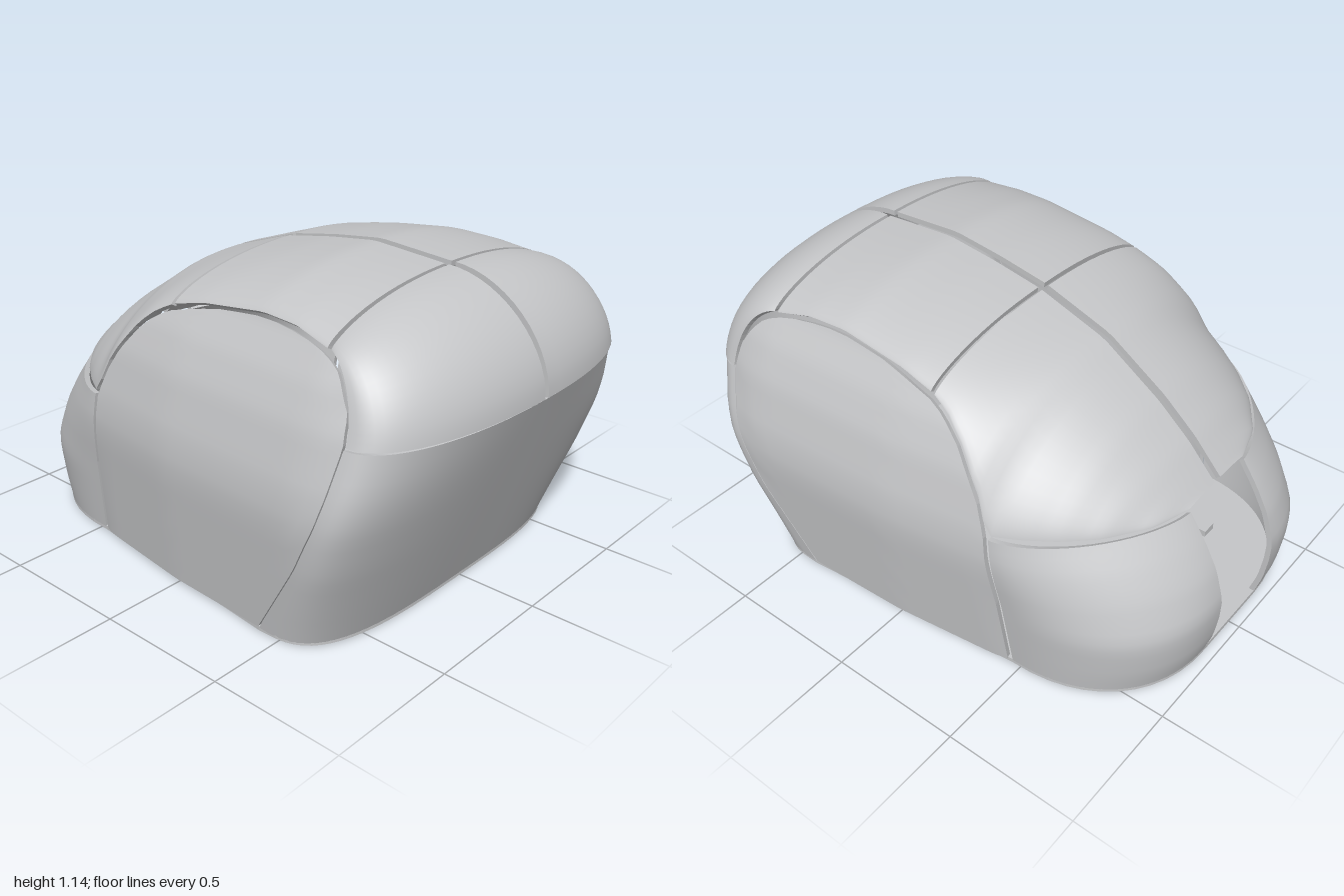
import * as THREE from 'three';

const grey = new THREE.MeshStandardMaterial({ color: 0xc5c6c8 });
grey.name = 'shellGrey';

// Piecewise linear lookup through [input, output] pairs
function lookup(pairs) {
  return (t) => {
    if (t <= pairs[0][0]) return pairs[0][1];
    for (let i = 1; i < pairs.length; i++) {
      const [a, va] = pairs[i - 1], [b, vb] = pairs[i];
      if (t <= b) return va + (vb - va) * (t - a) / (b - a);
    }
    return pairs[pairs.length - 1][1];
  };
}

// Side wall: half width along x, and how far it leans in with height
const halfWidth = lookup([[-0.47, 0.675], [-0.4, 0.695], [0, 0.745], [0.6, 0.77], [0.7, 0.76], [0.75, 0.745]]);
const lean = lookup([[0, 0.045], [0.25, 0.02], [0.42, 0.003], [0.5, 0], [0.6, 0.012], [0.78, 0.06], [0.9, 0.115], [1, 0.18], [1.04, 0.2]]);
const sideZ = (x, y) => halfWidth(x) - lean(y);

// Front and back edges of the side panel by height
const panelFront = lookup([[0.015, -0.45], [0.3, -0.43], [0.6, -0.39], [0.7, -0.35], [0.78, -0.3], [0.86, -0.235],
  [0.92, -0.165], [0.955, -0.09], [0.985, 0.03], [1.005, 0.13], [1.02, 0.28]]);
const panelBack = lookup([[0.015, 0.41], [0.32, 0.6], [0.5, 0.685], [0.6, 0.715], [0.76, 0.742], [0.85, 0.73],
  [0.92, 0.685], [0.96, 0.645], [0.985, 0.59], [1.01, 0.48], [1.02, 0.36]]);

// Roof: crown height, lower edge height and lower edge half width along x
const crown = lookup([[-0.84, 0.615], [-0.73, 0.735], [-0.6, 0.845], [-0.37, 0.995], [-0.1, 1.085], [0.1, 1.12], [0.3, 1.145],
  [0.6, 1.125]]);
const roofEdgeY = lookup([[-0.4, 0.605], [-0.36, 0.715], [-0.3, 0.805], [-0.24, 0.88], [-0.17, 0.937], [-0.1, 0.97],
  [0.03, 1.003], [0.3, 1.035], [0.45, 1.03], [0.6, 0.998]]);
const roofFrontZ = lookup([[-0.84, 0.17], [-0.8, 0.31], [-0.7, 0.46], [-0.6, 0.555], [-0.5, 0.625], [-0.4, 0.68]]);

// Roof cross-section at x, from the centre gap (v = 0) down to the side edge (v = 1)
function roofPoint(x, v) {
  const yb = roofEdgeY(x), zb = x < -0.4 ? roofFrontZ(x) : sideZ(x, yb);
  const t = Math.sin(v * Math.PI / 2);
  const rise = Math.pow(Math.max(0, 1 - Math.pow(t, 2.2)), 0.72);
  return [x, yb + Math.max(0.004, crown(x) - yb) * rise, Math.max(0.009 * (1 - v), zb * t) + 0.009 * (1 - t)];
}

// Nose and tail contours by height
const noseX = lookup([[0, -0.955], [0.1, -0.985], [0.2, -0.998], [0.28, -1], [0.4, -0.965], [0.5, -0.91], [0.6, -0.84]]);
const tailX = (y) => 0.7 + 0.285 * y / 0.76;
const slot = 0.17;

function nosePoint(a, y) {
  const e = 0.9 + 0.43 * Math.max(0, (y - 0.25) / 0.35);
  const x0 = panelFront(y) - 0.018, z0 = sideZ(x0, y);
  const s = Math.pow(Math.sin(a * Math.PI / 2), e), c = Math.pow(Math.max(0, Math.cos(a * Math.PI / 2)), e);
  return [x0 + (noseX(y) - x0) * s, y, slot + (z0 - slot) * c];
}
function tailPoint(a, y) { // a runs from -1 to 1 across the back
  const e = 2 / (3.4 - 1.2 * y / 0.76);
  const x0 = panelBack(y) + 0.004, z0 = sideZ(x0, y);
  const t = Math.abs(a) * Math.PI / 2;
  const c = Math.pow(Math.max(0, Math.cos(t)), e), s = Math.pow(Math.sin(t), e);
  return [x0 + (tailX(y) - x0) * c, y, Math.sign(a) * z0 * s];
}

// Domed rear roof: arcs from the last cross-section down to the tail's top contour
function rearRoofPoint(u, v) {
  const p = roofPoint(0.608, v), q = tailPoint(v, 0.762);
  const s = Math.pow(Math.sin(u * Math.PI / 2), 1.08);
  const c = Math.pow(Math.max(0, Math.cos(u * Math.PI / 2)), 1.08);
  const z = Math.max(q[2], 0.009);
  return [p[0] + (q[0] + 0.006 - p[0]) * s, q[1] + (p[1] - q[1]) * c, p[2] + (z - p[2]) * u];
}

// Thick shell over a point grid: outer skin, inner skin and hard rim
function shell(name, point, nu, nv, thickness = 0.02) {
  const pos = [], idx = [], w = nu + 1;
  for (let j = 0; j <= nv; j++) for (let i = 0; i <= nu; i++) pos.push(...point(i / nu, j / nv));
  for (let j = 0; j < nv; j++) for (let i = 0; i < nu; i++) {
    const a = j * w + i;
    idx.push(a, a + 1, a + w + 1, a, a + w + 1, a + w);
  }
  const skin = new THREE.BufferGeometry();
  skin.setAttribute('position', new THREE.Float32BufferAttribute(pos, 3));
  skin.setIndex(idx);
  skin.computeVertexNormals();
  let n = skin.attributes.normal.array, facing = 0;
  for (let i = 0; i < pos.length; i += 3) facing += n[i] * pos[i] + n[i + 1] * (pos[i + 1] - 0.4) + n[i + 2] * pos[i + 2];
  const flip = facing < 0;
  if (flip) {
    idx.reverse();
    skin.setIndex(idx);
    skin.computeVertexNormals();
    n = skin.attributes.normal.array;
  }
  const inner = pos.map((p, i) => p - n[i] * thickness);
  const inside = new THREE.BufferGeometry();
  inside.setAttribute('position', new THREE.Float32BufferAttribute(inner, 3));
  inside.setIndex([...idx].reverse());
  inside.computeVertexNormals();

  const loop = [], rim = [];
  for (let i = 0; i < nu; i++) loop.push(i);
  for (let j = 0; j < nv; j++) loop.push(j * w + nu);
  for (let i = nu; i > 0; i--) loop.push(nv * w + i);
  for (let j = nv; j > 0; j--) loop.push(j * w);
  if (flip) loop.reverse();
  const at = (arr, k) => arr.slice(k * 3, k * 3 + 3);
  loop.forEach((a, k) => {
    const b = loop[(k + 1) % loop.length];
    rim.push(...at(pos, a), ...at(inner, a), ...at(inner, b), ...at(pos, a), ...at(inner, b), ...at(pos, b));
  });
  const edge = new THREE.BufferGeometry();
  edge.setAttribute('position', new THREE.Float32BufferAttribute(rim, 3));
  edge.computeVertexNormals();

  const part = new THREE.Group();
  part.name = name;
  [[skin, 'Outer'], [inside, 'Inner'], [edge, 'Rim']].forEach(([g, label]) => {
    const mesh = new THREE.Mesh(g, grey);
    mesh.name = name + label;
    part.add(mesh);
  });
  return part;
}

export function createModel() {
  const model = new THREE.Group();
  model.name = 'pod';

  for (const side of [1, -1]) {
    const label = side > 0 ? 'Near' : 'Far';
    const addShell = (name, point, nu, nv) => model.add(shell(name + label, (u, v) => {
      const [x, y, z] = point(u, v);
      return [x, y, side * z];
    }, nu, nv));
    // Large side panel
    addShell('sidePanel', (u, v) => {
      const y = 0.015 + 1.005 * (1 - Math.pow(1 - v, 1.5));
      const x = THREE.MathUtils.lerp(panelFront(y), panelBack(y), u);
      return [x, y, sideZ(x, y)];
    }, 20, 30);
    // Three roof panels
    addShell('frontRoof', (u, v) => roofPoint(-0.84 + 0.732 * Math.pow(u, 1.4), v), 28, 14);
    addShell('middleRoof', (u, v) => roofPoint(-0.092 + 0.684 * u, v), 20, 14);
    addShell('rearRoof', rearRoofPoint, 14, 16);
    // Nose cheek beside the entrance slot
    addShell('noseCheek', (u, v) => nosePoint(u, 0.015 + 0.578 * v), 20, 16);
    // Small floor latches
    for (const [x, size] of [[-0.41, 0.1], [-0.64, 0.06]]) {
      const latch = new THREE.Mesh(new THREE.BoxGeometry(size, 0.045, 0.06), grey);
      latch.name = 'floorLatch' + label;
      latch.position.set(x, 0.0225, side * 0.33);
      model.add(latch);
    }
  }

  // Slanted tail panel
  model.add(shell('tailPanel', (u, v) => tailPoint(2 * u - 1, 0.01 + 0.744 * v), 48, 16));

  // Floor slab following the bottom edges of the walls
  const outline = [];
  for (let i = 0; i <= 32; i++) {
    const [x, , z] = tailPoint(i / 16 - 1, 0.015);
    outline.push(new THREE.Vector2(x, -z));
  }
  for (const side of [1, -1]) for (let i = 0; i <= 12; i++) {
    const [x, , z] = nosePoint(side > 0 ? i / 12 : 1 - i / 12, 0.015);
    outline.push(new THREE.Vector2(x, -side * z));
  }
  const slab = new THREE.ExtrudeGeometry(new THREE.Shape(outline), { depth: 0.016, bevelEnabled: false });
  slab.rotateX(-Math.PI / 2);
  const floor = new THREE.Mesh(slab, grey);
  floor.name = 'floor';
  floor.position.y = 0.003;
  model.add(floor);

  return model;
}
